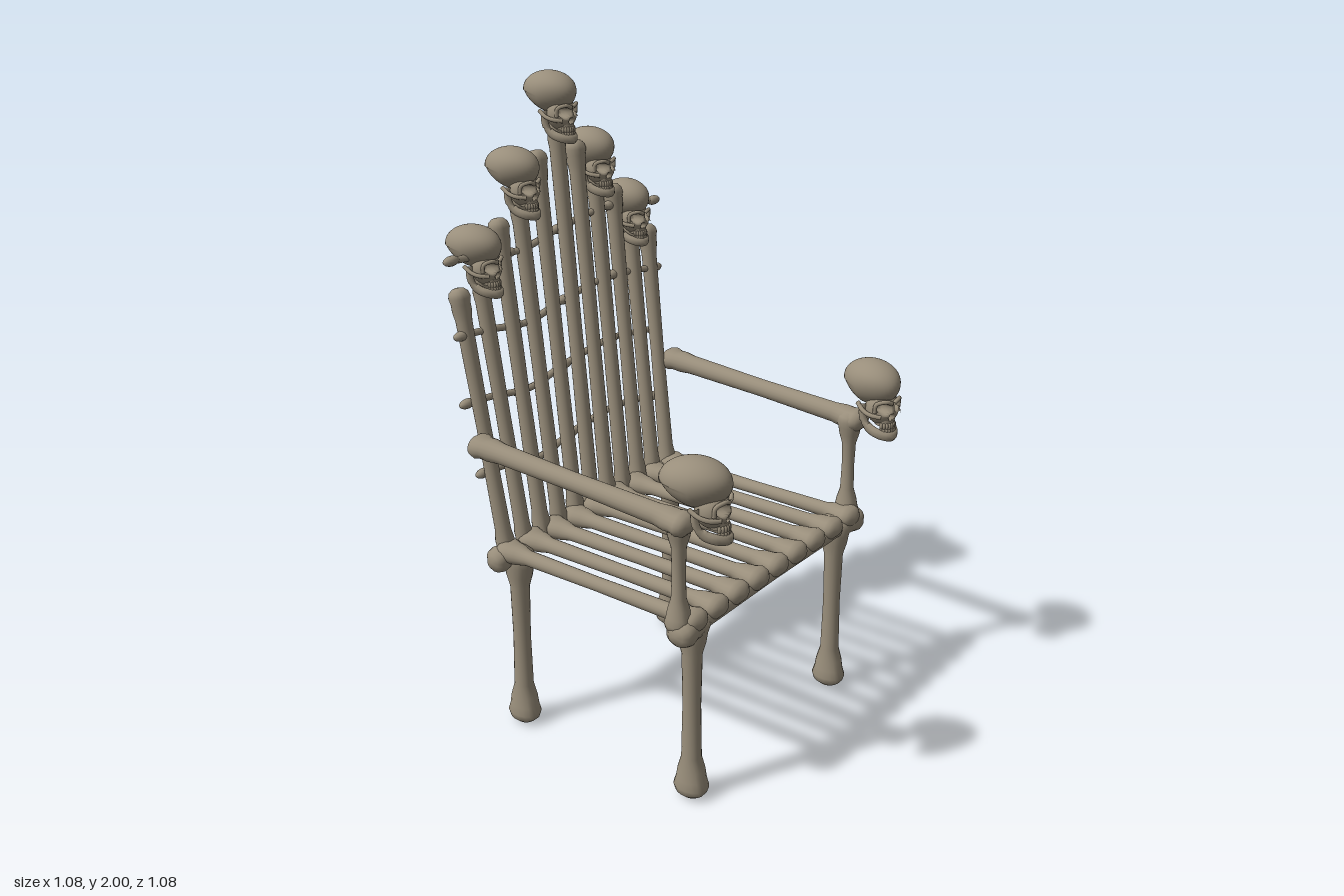
import * as THREE from 'three';
import { mergeVertices } from 'three/addons/utils/BufferGeometryUtils.js';

const bone = new THREE.MeshStandardMaterial({ color: 0x998e7b });
bone.name = 'agedBone';
const V = (x, y, z) => new THREE.Vector3(x, y, z);

function add(parent, name, geometry) {
  const mesh = new THREE.Mesh(geometry, bone);
  mesh.name = name;
  parent.add(mesh);
  return mesh;
}

// Move every vertex by a rule, then rebuild smooth normals without a seam
function reshape(geometry, rule) {
  geometry.deleteAttribute('uv');
  geometry.deleteAttribute('normal');
  const g = mergeVertices(geometry, 1e-5);
  const p = g.attributes.position, v = V(0, 0, 0);
  for (let i = 0; i < p.count; i++) {
    v.fromBufferAttribute(p, i);
    rule(v);
    p.setXYZ(i, v.x, v.y, v.z);
  }
  g.computeVertexNormals();
  return g;
}

// Long bone from a to b: shaft radius r, knob radius k, knobs widened by wx and wz
function longBone(parent, name, a, b, r, k, wx = 1, wz = 1) {
  const len = a.distanceTo(b), half = len / 2;
  const end = [[0, 0], [0.55 * k, 0.1 * k], [0.88 * k, 0.4 * k], [k, 0.85 * k],
    [0.88 * k, 1.4 * k], [(r + k) * 0.52, 2.1 * k], [r * 1.05, 3 * k]];
  const pts = end.map(([x, y]) => new THREE.Vector2(x, y - half));
  pts.push(new THREE.Vector2(r * 0.94, 0));
  for (const [x, y] of [...end].reverse()) pts.push(new THREE.Vector2(x, half - y));
  const geo = reshape(new THREE.LatheGeometry(pts, 18), v => {
    const t = THREE.MathUtils.smoothstep(Math.abs(v.y), half - 3 * k, half - k);
    const lobe = 1 - 0.1 * t * Math.exp(-Math.pow(v.x / (0.3 * k), 2));
    v.x *= 1 + (wx - 1) * t;
    v.z *= (1 + (wz - 1) * t) * lobe;
  });
  const mesh = add(parent, name, geo);
  mesh.position.copy(a).add(b).multiplyScalar(0.5);
  mesh.quaternion.setFromUnitVectors(V(0, 1, 0), b.clone().sub(a).normalize());
  return mesh;
}

// Skull parts, facing +z with the cranium centred on the origin
const craniumGeo = reshape(new THREE.SphereGeometry(1, 36, 26), v => {
  const { x, y, z } = v;
  const temple = 1 - 0.2 * Math.max(0, z) * Math.max(0, 0.5 - y);
  v.set(x * 0.065 * temple * (1 + 0.06 * y), y * (y < 0 ? 0.062 : 0.06), z * 0.09);
  if (y < 0) v.y += 0.018 * Math.max(0, -z);
});
const pits = [[-0.023, -0.054, 0.017, 0.03], [0.023, -0.054, 0.017, 0.03], [0, -0.081, 0.01, 0.02]];
const faceGeo = reshape(new THREE.SphereGeometry(1, 56, 44), v => {
  v.set(v.x * 0.047, v.y * 0.05 - 0.063, v.z * 0.044 + 0.043);
  v.x *= 1 + 4 * Math.min(0, v.y + 0.08);
  if (v.z < 0.043) return;
  for (const [x, y, r, depth] of pits) {
    const d = Math.hypot(v.x - x, v.y - y) / r;
    v.z -= depth * (1 - THREE.MathUtils.smoothstep(d, 0.5, 1.15));
  }
});
const side = [[0.042, -0.05, 0.012], [0.042, -0.09, 0.014], [0.038, -0.118, 0.028], [0.027, -0.13, 0.064]];
const jawPath = [...side.map(p => V(...p)), V(0, -0.134, 0.085),
  ...[...side].reverse().map(([x, y, z]) => V(-x, y, z))];
const jawGeo = reshape(new THREE.TubeGeometry(new THREE.CatmullRomCurve3(jawPath), 36, 0.0105, 8), v => {
  if (v.y < -0.11) v.y = -0.13 + (v.y + 0.13) * 1.35;
});
const toothGeo = new THREE.SphereGeometry(1, 8, 6).scale(0.0048, 0.01, 0.005);

function skull(parent, name, x, y, z, turn, size) {
  const g = new THREE.Group();
  g.name = name;
  g.position.set(x, y, z);
  g.rotation.y = turn;
  g.scale.setScalar(size);
  parent.add(g);
  add(g, 'cranium', craniumGeo);
  add(g, 'face', faceGeo);
  add(g, 'jaw', jawGeo);
  // Upper palate carrying the teeth
  const palate = add(g, 'palate', new THREE.CylinderGeometry(0.027, 0.025, 0.018, 18));
  palate.position.set(0, -0.099, 0.054);
  palate.scale.z = 1.1;
  for (let i = 0; i < 9; i++) {
    const a = (i - 4) * 0.27;
    for (const ty of [-0.107, -0.12]) {
      add(g, 'tooth', toothGeo).position.set(0.026 * Math.sin(a), ty, 0.052 + 0.031 * Math.cos(a));
    }
  }
  for (const s of [-1, 1]) {
    // Cheekbone arch and brow ridge
    const arch = new THREE.CatmullRomCurve3([V(s * 0.032, -0.078, 0.074), V(s * 0.05, -0.074, 0.05),
      V(s * 0.055, -0.066, 0.026), V(s * 0.05, -0.052, 0)]);
    add(g, 'cheekbone', new THREE.TubeGeometry(arch, 14, 0.0065, 8));
    const brow = new THREE.CatmullRomCurve3([V(s * 0.003, -0.041, 0.084), V(s * 0.022, -0.033, 0.081),
      V(s * 0.042, -0.042, 0.063), V(s * 0.043, -0.066, 0.06)]);
    add(g, 'brow', new THREE.TubeGeometry(brow, 14, 0.006, 8));
  }
}

export function createModel() {
  const chair = new THREE.Group();
  chair.name = 'boneChair';

  // Seat frame rails across the front and rear
  longBone(chair, 'frontRail', V(-0.49, 0.595, 0.385), V(0.49, 0.595, 0.385), 0.028, 0.044, 1, 1.15);
  longBone(chair, 'rearRail', V(-0.48, 0.6, -0.315), V(0.48, 0.6, -0.315), 0.026, 0.042);

  // Seat slats
  for (let i = -3; i <= 3; i++) {
    longBone(chair, 'seatSlat', V(i * 0.104, 0.62, -0.335), V(i * 0.104, 0.62, 0.43), 0.023, 0.037, 1.3, 1);
  }

  for (const s of [-1, 1]) {
    // Legs, side rails, arm posts and armrests
    longBone(chair, 'frontLeg', V(s * 0.385, 0.005, 0.37), V(s * 0.385, 0.63, 0.37), 0.029, 0.046, 1, 1.25);
    longBone(chair, 'rearLeg', V(s * 0.385, 0.005, -0.29), V(s * 0.385, 0.63, -0.29), 0.029, 0.046, 1, 1.25);
    longBone(chair, 'sideRail', V(s * 0.415, 0.62, -0.335), V(s * 0.415, 0.62, 0.43), 0.023, 0.038, 1.3, 1);
    longBone(chair, 'armPost', V(s * 0.45, 0.59, 0.37), V(s * 0.45, 0.965, 0.37), 0.021, 0.036, 1.1, 1.2);
    longBone(chair, 'armrest', V(s * 0.47, 0.978, -0.375), V(s * 0.46, 0.935, 0.42), 0.03, 0.038, 1.25, 1);
    skull(chair, 'armSkull', s * 0.463, 1.078, 0.435, -s * 0.3, 1.14);
  }

  // Backrest bones fanning out and leaning back
  const tops = [1.86, 1.78, 1.665, 1.61, 1.465, 1.44];
  for (let i = -5; i <= 5; i++) {
    const n = Math.abs(i);
    longBone(chair, 'backBone', V(i * 0.081, 0.585, -0.315), V(i * 0.0885, tops[n], -0.432),
      0.0235, n % 2 ? 0.033 : 0.03);
    if (n % 2 === 0) skull(chair, 'backSkull', i * 0.0885, 1.94 - n * 0.0985, -0.447, -i * 0.035, 1);
  }

  // Wavy ribs woven across the back: height, depth, half width
  for (const [y, z, w] of [[0.85, -0.39, 0.42], [1.08, -0.412, 0.45], [1.295, -0.41, 0.46], [1.52, -0.425, 0.47]]) {
    const path = new THREE.CatmullRomCurve3([
      V(-w, y + 0.008, z), V(-w * 0.75, y - 0.006, z - 0.008), V(-w * 0.4, y - 0.024, z + 0.004),
      V(0, y - 0.002, z - 0.008), V(w * 0.45, y + 0.026, z + 0.004), V(w * 0.75, y + 0.008, z - 0.008),
      V(w, y - 0.006, z)]);
    add(chair, 'rib', new THREE.TubeGeometry(path, 48, 0.011, 8));
    for (const t of [0, 0.25, 0.5, 0.75, 1]) {
      const knot = add(chair, 'ribKnot', new THREE.SphereGeometry(1, 12, 8));
      knot.position.copy(path.getPointAt(t));
      knot.scale.set(0.03, 0.015, 0.016);
    }
  }
  return chair;
}
